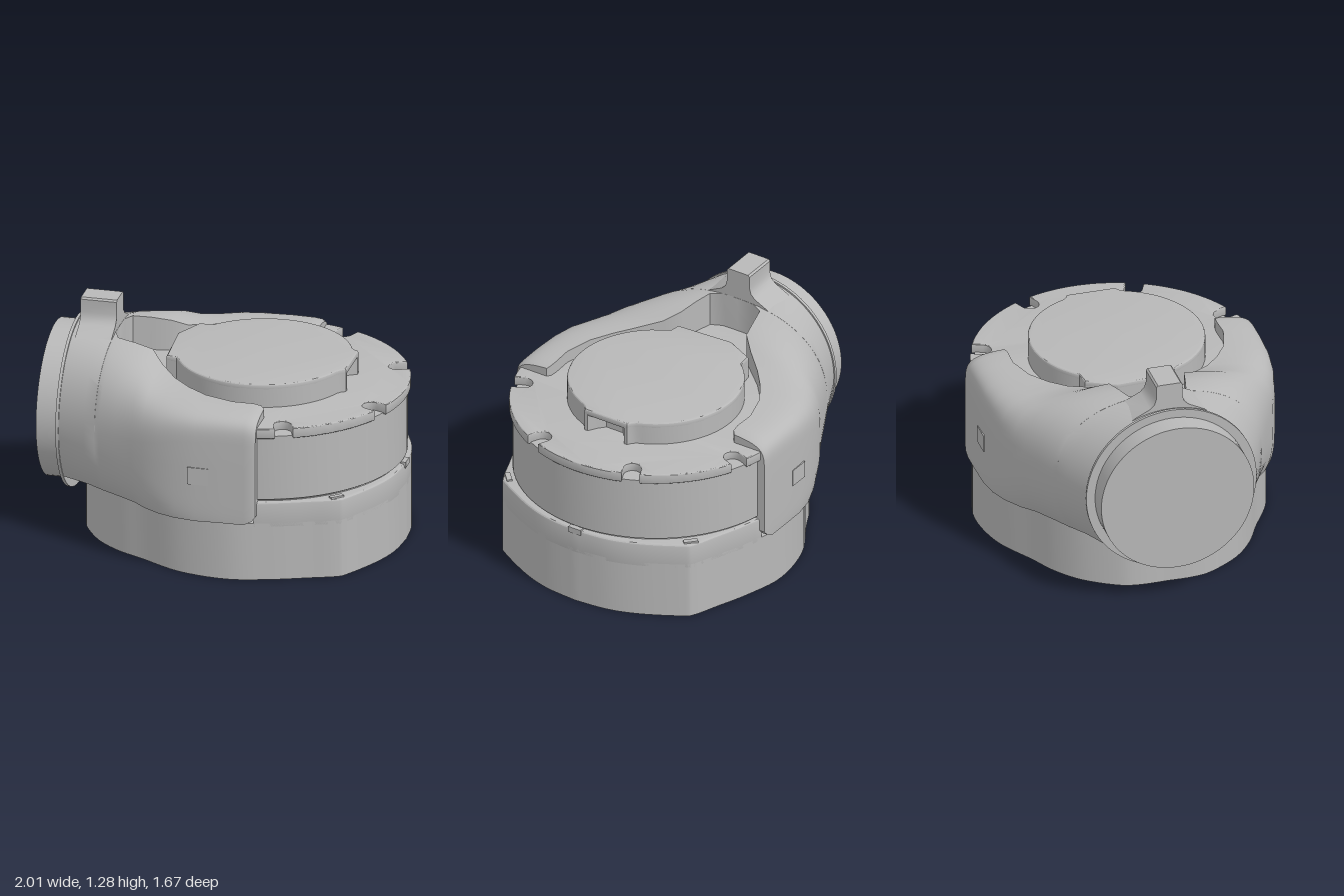
import * as THREE from 'three';
import { toCreasedNormals } from 'three/addons/utils/BufferGeometryUtils.js';

const CX = 0.19; // drum axis
const V = (x, y) => new THREE.Vector2(x, y);

export function createModel() {
  const model = new THREE.Group();
  const grey = new THREE.MeshStandardMaterial({ color: 0xb8b8b8 });
  grey.name = 'housing grey';

  const add = (name, geo, x = 0, y = 0, z = 0) => {
    const mesh = new THREE.Mesh(geo, grey);
    mesh.name = name;
    mesh.position.set(x, y, z);
    model.add(mesh);
    return mesh;
  };

  // Horizontal slab from a plan outline of (x, -z) points
  const slab = (name, pts, y0, y1, bevel = 0) => {
    const geo = new THREE.ExtrudeGeometry(new THREE.Shape(pts), {
      depth: y1 - y0 - 2 * bevel, bevelEnabled: bevel > 0, bevelThickness: bevel,
      bevelSize: bevel, bevelOffset: -bevel, bevelSegments: 3,
    });
    geo.translate(0, 0, bevel).rotateX(-Math.PI / 2);
    return add(name, toCreasedNormals(geo, 0.5), 0, y0, 0);
  };

  // Base: wavy plan, mirrored across z
  const half = new THREE.SplineCurve([
    V(1, 0), V(0.98, 0.2), V(0.92, 0.38), V(0.81, 0.585), V(0.76, 0.635), V(0.62, 0.69),
    V(0.42, 0.765), V(0.18, 0.82), V(-0.1, 0.775), V(-0.34, 0.645), V(-0.5, 0.56),
    V(-0.64, 0.44), V(-0.75, 0.27), V(-0.78, 0.15), V(-0.78, 0),
  ]).getPoints(70);
  const outline = [...half, ...half.slice(1, -1).reverse().map(p => V(p.x, -p.y))];
  slab('base', outline, 0, 0.335);
  const rim = half.filter(p => p.x > 0.3);
  slab('baseRim', [...rim, ...rim.slice(1).reverse().map(p => V(p.x, -p.y))], 0.3, 0.46, 0.015);

  // Drum body with a slightly recessed seam
  const drum = [[0, 0.4], [0.775, 0.4], [0.775, 0.465], [0.792, 0.475], [0.792, 0.85], [0, 0.85]];
  add('drum', toCreasedNormals(
    new THREE.LatheGeometry(drum.map(p => V(...p)), 96), 0.5), CX);

  // Drum top plate with U-shaped screw notches
  const plate = [];
  const notches = [-1.19, -0.41, 0.41, 1.19];
  const polar = (a, u, v) =>
    V(CX + u * Math.cos(a) - v * Math.sin(a), u * Math.sin(a) + v * Math.cos(a));
  for (let i = 0; i < 128; i++) {
    const a = -Math.PI + (i / 128) * Math.PI * 2;
    const next = a + Math.PI / 64;
    if (!notches.some(n => Math.abs(a - n) < 0.07)) plate.push(polar(a, 0.81, 0));
    for (const n of notches) {
      if (n < a || n >= next) continue;
      plate.push(polar(n, 0.808, -0.05));
      for (let k = 0; k <= 10; k++) {
        const t = (k / 10) * Math.PI;
        plate.push(polar(n, 0.745 - 0.05 * Math.sin(t), -0.05 * Math.cos(t)));
      }
      plate.push(polar(n, 0.808, 0.05));
    }
  }
  slab('drumTop', plate, 0.84, 0.9, 0.008);

  // Small latches on the seam
  for (const a of [-0.82, 0, 0.82]) {
    const r = a ? 0.825 : 0.8;
    const latch = add('seamLatch', new THREE.BoxGeometry(0.03, 0.035, 0.08),
      CX + r * Math.cos(a), 0.452, -r * Math.sin(a));
    latch.rotation.y = a;
  }

  // Raised lid: round with a flat left side and a right-hand tab
  const arc = (a0, a1) => Array.from({ length: 33 }, (_, i) => {
    const a = a0 + (a1 - a0) * i / 32;
    return V(CX + 0.49 * Math.cos(a), 0.49 * Math.sin(a));
  });
  const lidEdge = [
    ...arc(0.37, 2.42), V(-0.26, 0.315), V(-0.34, 0.15), V(-0.32, -0.19), V(-0.26, -0.2),
    ...arc(3.78, 5.91), V(0.665, -0.155), V(0.69, -0.14),
  ];
  const pocket = [V(0.69, -0.12), V(0.64, -0.09), V(0.6, -0.055),
    V(0.6, 0.055), V(0.64, 0.09), V(0.69, 0.12)];
  slab('lidSide', [...lidEdge, ...pocket, V(0.69, 0.14), V(0.665, 0.155)], 0.89, 1.01);
  slab('lidTop', [...lidEdge, V(0.69, 0.14), V(0.665, 0.155)], 0.995, 1.035, 0.012);

  // Duct: x, inner z, outer z, top y, squareness, bottom y
  const stations = [
    [-0.865, 0, 0.48, 1.13, 2, 0.33],
    [-0.7, 0, 0.555, 1.12, 2.2, 0.33],
    [-0.631, 0, 0.59, 1.11, 2.4, 0.33],
    [-0.63, 0.1, 0.59, 1.11, 2.4, 0.33],
    [-0.6, 0.165, 0.605, 1.11, 2.5, 0.33],
    [-0.5, 0.19, 0.655, 1.1, 2.7, 0.33],
    [-0.39, 0.215, 0.71, 1.08, 3, 0.33],
    [-0.32, 0.29, 0.75, 1.03, 3.6, 0.33],
    [-0.22, 0.4, 0.79, 1.0, 4.6, 0.33],
    [-0.12, 0.485, 0.815, 0.987, 6, 0.33],
    [0, 0.56, 0.83, 0.98, 7, 0.33],
    [0.16, 0.605, 0.832, 0.975, 8, 0.335],
    [0.28, 0.6, 0.832, 0.973, 8, 0.335],
    [0.325, 0.605, 0.832, 0.967, 8, 0.36],
    [0.345, 0.62, 0.822, 0.955, 8, 0.385],
  ];
  const section = ([x, zi, zo, top, n, bottom], side) => {
    const pts = [[x, bottom, side * zi]];
    const t1 = Math.acos(Math.pow(zi / zo, n / 2));
    const t2 = Math.asin(Math.pow((0.65 - bottom) / 0.49, n / 2));
    for (let k = 0; k <= 28; k++) {
      const t = k < 20 ? t1 * (1 - k / 20) : t2 * (k - 20) / 8;
      const h = k < 20 ? top - 0.65 : -0.49;
      pts.push([x, 0.65 + h * Math.pow(Math.sin(t), 2 / n),
        side * zo * Math.pow(Math.max(Math.cos(t), 0), 2 / n)]);
    }
    return pts;
  };
  for (const side of [1, -1]) {
    const loops = stations.map(s => section(s, side));
    const n = loops[0].length;
    const index = [];
    const tri = (a, b, c) => index.push(...(side > 0 ? [a, b, c] : [a, c, b]));
    for (let s = 0; s < loops.length - 1; s++) {
      for (let i = 0; i < n; i++) {
        const j = (i + 1) % n, a = s * n, b = a + n;
        tri(a + i, a + j, b + j);
        tri(a + i, b + j, b + i);
      }
    }
    const last = (loops.length - 1) * n;
    for (let i = 1; i < n - 1; i++) {
      tri(0, i + 1, i);
      tri(last, last + i, last + i + 1);
    }
    const geo = new THREE.BufferGeometry();
    geo.setAttribute('position', new THREE.Float32BufferAttribute(loops.flat(2), 3));
    geo.setIndex(index);
    add(side > 0 ? 'leftDuctArm' : 'rightDuctArm', toCreasedNormals(geo, 0.6));

    // Small raised tab on the side of the arm
    add('armTab', new THREE.BoxGeometry(0.12, 0.1, 0.008), 0.02, 0.6, side * 0.831);
  }

  // Floor of the opening between the arms
  add('ductFloor', new THREE.BoxGeometry(0.5, 0.5, 0.44), -0.4, 0.65, 0);

  // Inlet pipe and flange along x
  const disc = (name, r, x0, x1) => {
    const geo = new THREE.CylinderGeometry(r, r, x1 - x0, 80).rotateZ(Math.PI / 2);
    add(name, geo, (x0 + x1) / 2, 0.65, 0);
  };
  disc('inletPipe', 0.44, -1, -0.87);
  disc('inletFlange', 0.49, -0.877, -0.86);

  // Upright handle with flared foot
  const profile = [V(0.065, 1.283), V(0.075, 1.273), V(0.075, 1.2), V(0.085, 1.165),
    V(0.11, 1.14), V(0.2, 1.095), V(0.28, 1.03)];
  const handle = new THREE.ExtrudeGeometry(
    new THREE.Shape([...profile.map(p => V(-p.x, p.y)), ...profile.slice().reverse()]),
    { depth: 0.205, bevelEnabled: false });
  handle.rotateY(Math.PI / 2);
  add('handle', toCreasedNormals(handle, 0.6), -0.837, 0, 0);

  return model;
}
